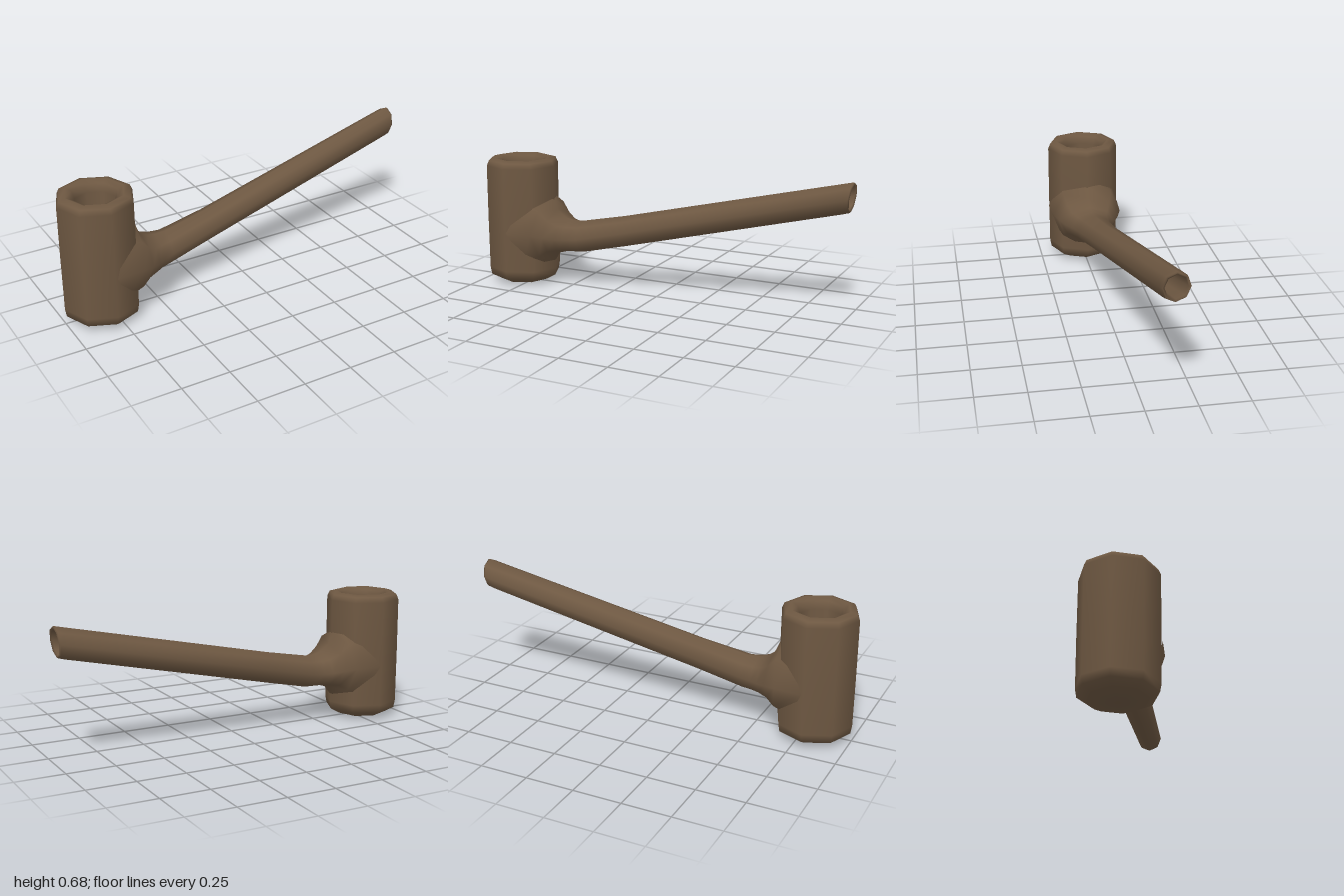
import * as THREE from 'three';

const SIDES = 8;

// Skin a row of rings [x, centreY, centreZ, radiusY, radiusZ, sweepBack, lean] running along x.
// sweepBack pulls the two sides of a ring towards -x; lean shifts the ring's top towards +x.
function loft(rings) {
  const positions = [], index = [];
  for (const [x, cy, cz, ry, rz, sweepBack = 0, lean = 0] of rings) {
    for (let j = 0; j < SIDES; j++) {
      const a = (j / SIDES) * Math.PI * 2;
      const c = Math.cos(a), s = Math.sin(a);
      positions.push(x - sweepBack * s * s + lean * c, cy + ry * c, cz + rz * s);
    }
  }
  for (let i = 0; i < rings.length - 1; i++) {
    for (let j = 0; j < SIDES; j++) {
      const k = (j + 1) % SIDES;
      const a = i * SIDES + j, b = i * SIDES + k, c = a + SIDES, d = b + SIDES;
      index.push(a, b, c, b, d, c);
    }
  }
  const geometry = new THREE.BufferGeometry();
  geometry.setAttribute('position', new THREE.Float32BufferAttribute(positions, 3));
  geometry.setIndex(index);
  geometry.computeVertexNormals();
  return geometry;
}

export function createModel() {
  const group = new THREE.Group();
  group.name = 'pipe';
  const wood = new THREE.MeshStandardMaterial({ color: 0x6e5842 });
  wood.name = 'brown wood';

  // Bowl: outer wall, rounded rim, then down into the hollow chamber
  const profile = [
    [0, 0.003], [0.132, 0.012], [0.188, 0.043], [0.195, 0.085], [0.196, 0.36],
    [0.195, 0.645], [0.183, 0.673], [0.148, 0.683], [0.118, 0.668], [0.104, 0.63],
    [0.1, 0.45], [0.085, 0.36], [0.05, 0.32], [0, 0.31],
  ].map(([r, y]) => new THREE.Vector2(r, y));
  const bowl = new THREE.Mesh(new THREE.LatheGeometry(profile, SIDES), wood);
  bowl.name = 'bowl';
  bowl.position.x = -0.804;
  group.add(bowl);

  // Stem: flared joint, long straight tube, thin lip and hollow bore
  const stem = new THREE.Mesh(loft([
    [-0.645, 0.3, 0, 0.22, 0.2, 0.15],
    [-0.612, 0.3, 0, 0.175, 0.19, 0.04],
    [-0.59, 0.29, 0, 0.12, 0.168],
    [-0.54, 0.279, 0, 0.094, 0.138],
    [-0.5, 0.276, -0.006, 0.088, 0.114],
    [-0.44, 0.277, -0.012, 0.086, 0.094],
    [-0.2, 0.328, -0.03, 0.082, 0.079],
    [0.95, 0.595, -0.131, 0.078, 0.069, 0, 0.008],
    [0.985, 0.604, -0.133, 0.077, 0.067, 0, 0.008],
    [0.992, 0.605, -0.133, 0.073, 0.064, 0, 0.008],
    [0.985, 0.604, -0.133, 0.063, 0.053, 0, 0.008],
    [0.9, 0.584, -0.126, 0.06, 0.05],
    [0.4, 0.468, -0.083, 0.055, 0.046],
    [0.38, 0.463, -0.081, 0, 0],
  ]), wood);
  stem.name = 'stem';
  group.add(stem);

  return group;
}
